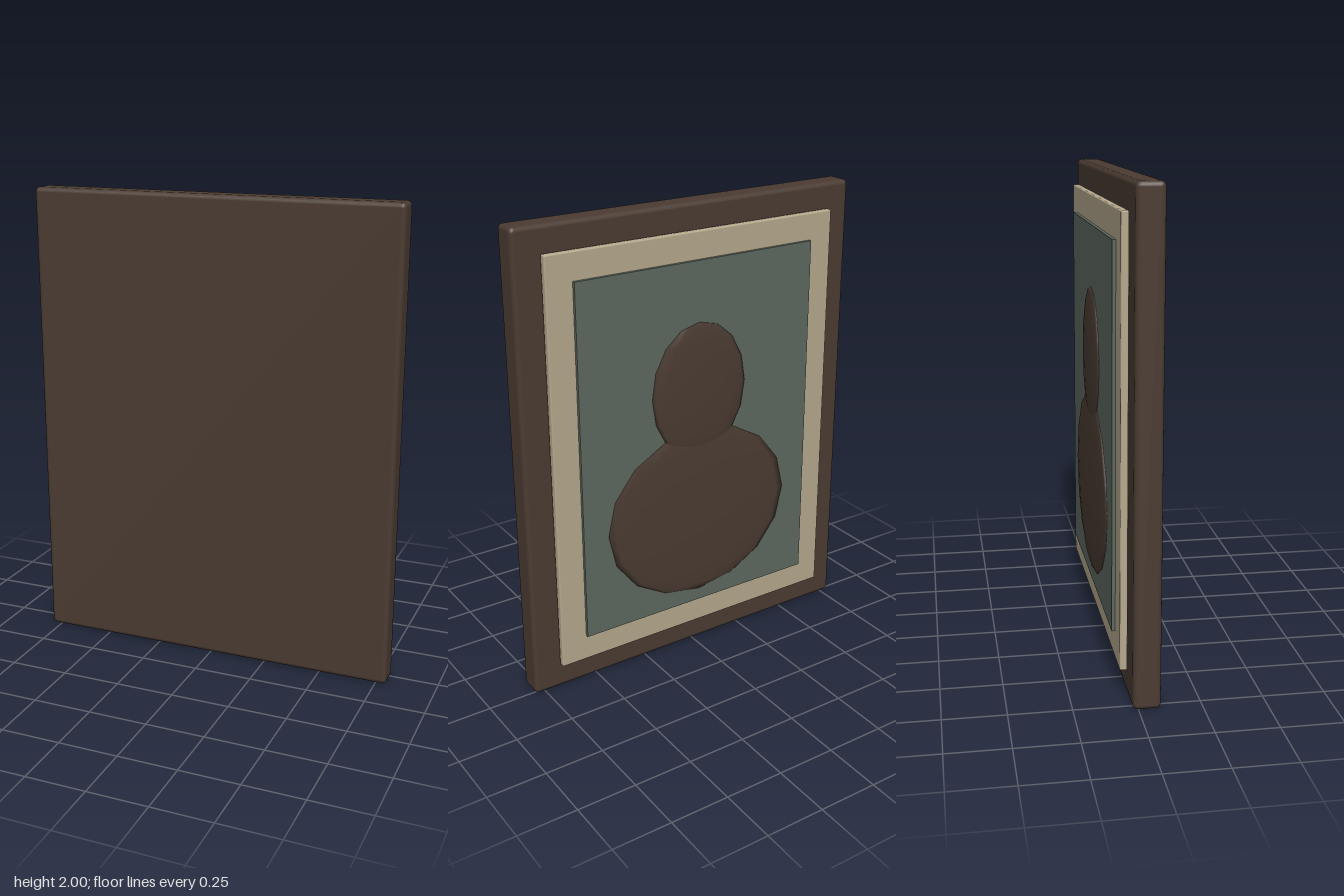
import * as THREE from 'three';
import { RoundedBoxGeometry } from 'three/addons/geometries/RoundedBoxGeometry.js';

function material(name, color) {
  const m = new THREE.MeshStandardMaterial({ color });
  m.name = name;
  return m;
}

export function createModel() {
  const model = new THREE.Group();
  model.name = 'framedPortrait';

  const darkWood = material('darkWood', 0x4a3b32);
  const cream = material('cream', 0xb5a88c);
  const greyGreen = material('greyGreen', 0x5e695f);

  function add(name, geometry, mat, y, z) {
    const mesh = new THREE.Mesh(geometry, mat);
    mesh.name = name;
    mesh.position.set(0, y, z);
    model.add(mesh);
    return mesh;
  }

  // Thick frame board with softened edges
  add('frame', new RoundedBoxGeometry(1.59, 2, 0.11, 2, 0.02), darkWood, 1, 0.033);

  // Mount and canvas, layered on the rear side of the board
  add('mount', new RoundedBoxGeometry(1.36, 1.775, 0.03, 2, 0.006), cream, 1.003, -0.041);
  add('canvas', new THREE.BoxGeometry(1.13, 1.545, 0.014), greyGreen, 1.003, -0.063);

  // Flattened bust silhouette: shoulders and head
  const blob = new THREE.SphereGeometry(1, 16, 8);
  add('shoulders', blob, darkWood, 0.67, -0.07).scale.set(0.45, 0.385, 0.017);
  add('head', blob, darkWood, 1.225, -0.07).scale.set(0.23, 0.295, 0.018);

  return model;
}
